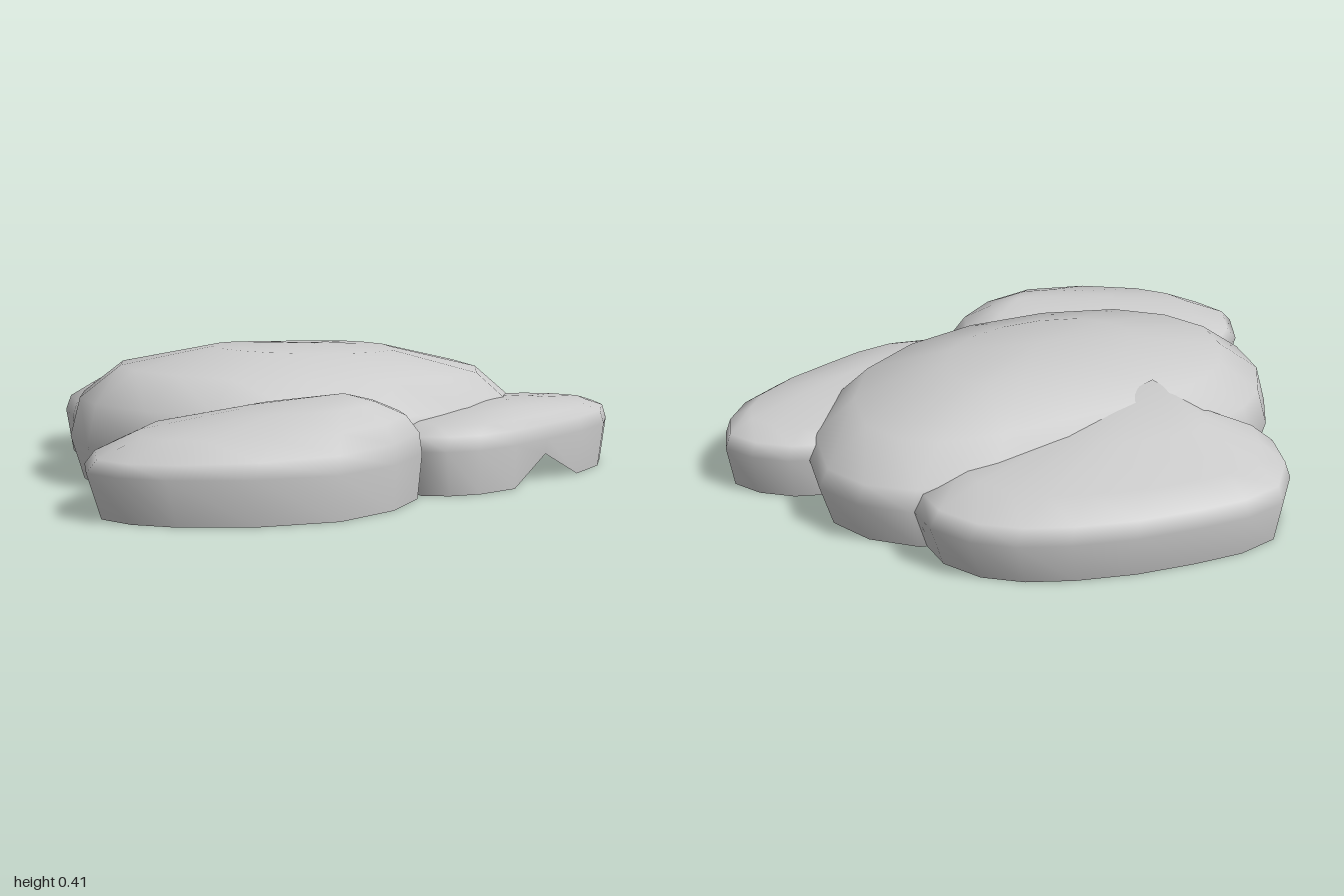
import * as THREE from 'three';

const material = new THREE.MeshStandardMaterial({ color: 0xcccccc, side: THREE.DoubleSide });

// Ring sizes from the ground rim, past the widest girth, up to the crown.
const ringScales = [0.945, 1, 0.96, 0.79, 0.4];
const girthHeight = 0.14;

// Open-bottomed boulder: a closed curve through a few plan points [x, z] is
// shrunk towards the peak ring by ring. crown = heights of the upper rings,
// tilt = their slope along x, notch = rim point chipped off the ground.
function makeRock({ name, plan, peak, crown, tilt = 0, notch = -1 }) {
  const curve = new THREE.CatmullRomCurve3(plan.map(([x, z]) => new THREE.Vector3(x, 0, z)), true);
  const n = plan.length * 2;
  const [px, py, pz] = peak;
  const heights = [0, girthHeight, ...crown];
  const positions = [];
  const index = [];

  ringScales.forEach((s, r) => {
    for (let j = 0; j < n; j++) {
      const p = curve.getPoint(j / n);
      const dx = (p.x - px) * s;
      let y = heights[r];
      if (r === 0 && j === notch) y = 0.09;
      if (r > 1) y += tilt * dx;
      positions.push(px + dx, y, pz + (p.z - pz) * s);
    }
  });
  positions.push(px, py, pz);

  const top = ringScales.length * n;
  for (let j = 0; j < n; j++) {
    const k = (j + 1) % n;
    for (let a = j, b = k; a < top - n; a += n, b += n) {
      index.push(a, a + n, b + n, a, b + n, b);
    }
    index.push(top - n + j, top, top - n + k);
  }

  const geometry = new THREE.BufferGeometry();
  geometry.setAttribute('position', new THREE.Float32BufferAttribute(positions, 3));
  geometry.setIndex(index);
  geometry.computeVertexNormals();
  const mesh = new THREE.Mesh(geometry, material);
  mesh.name = name;
  return mesh;
}

export function createModel() {
  const group = new THREE.Group();
  group.name = 'rockCluster';

  // Large dome in the middle, steeper on one side
  group.add(makeRock({
    name: 'centralRock',
    plan: [[-0.78, 0], [-0.66, -0.34], [-0.41, -0.47], [0.1, -0.46], [0.64, -0.38],
      [0.83, -0.1], [0.62, 0.38], [0.07, 0.54], [-0.54, 0.36]],
    peak: [0, 0.415, 0.03],
    crown: [0.23, 0.335, 0.4],
    tilt: -0.045,
  }));

  // Wedge with its peak off to one side
  group.add(makeRock({
    name: 'frontRightRock',
    plan: [[-1, 0.45], [-0.8, 0.18], [-0.4, 0.16], [0.04, 0.46], [0.02, 0.68], [-0.39, 0.865], [-0.86, 0.68]],
    peak: [-0.2, 0.33, 0.58],
    crown: [0.2, 0.255, 0.3],
    tilt: 0.03,
  }));

  // Low, long slab with a chip in its lower rim
  group.add(makeRock({
    name: 'frontLeftRock',
    plan: [[0.02, 0.65], [0.06, 0.4], [0.25, 0.16], [0.6, 0.06], [0.85, 0.11], [1, 0.29],
      [0.87, 0.5], [0.52, 0.655], [0.2, 0.73]],
    peak: [0.5, 0.24, 0.45],
    crown: [0.185, 0.21, 0.228],
    notch: 14,
  }));

  // Slab leaning on the back of the dome
  group.add(makeRock({
    name: 'backRock',
    plan: [[-0.57, -0.55], [-0.41, -0.84], [-0.1, -0.865], [0.3, -0.785], [0.56, -0.63], [0.63, -0.36],
      [0, -0.14], [-0.35, -0.2], [-0.47, -0.42]],
    peak: [-0.24, 0.375, -0.31],
    crown: [0.19, 0.238, 0.285],
  }));

  return group;
}
